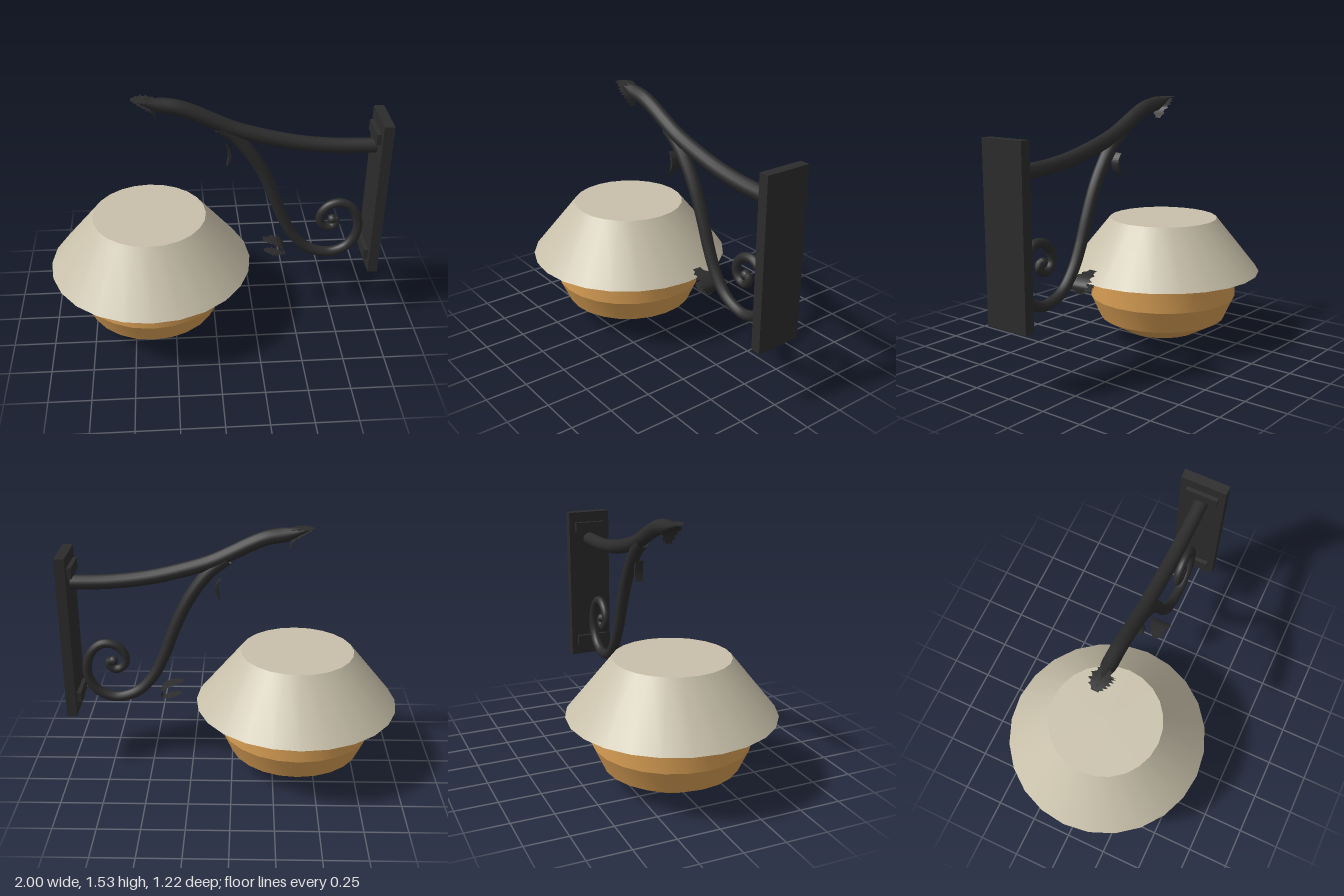
import * as THREE from 'three';
import { toCreasedNormals } from 'three/addons/utils/BufferGeometryUtils.js';

const iron = new THREE.MeshStandardMaterial({ color: 0x2c2c2c, side: THREE.DoubleSide });
iron.name = 'dark iron';
const cream = new THREE.MeshStandardMaterial({ color: 0xc8c0aa, side: THREE.DoubleSide });
cream.name = 'cream shade';
const amber = new THREE.MeshStandardMaterial({ color: 0xd99f55 });
amber.name = 'amber glass';

const LAMP_X = -0.39;

function add(parent, name, geometry, material) {
  const mesh = new THREE.Mesh(geometry, material);
  mesh.name = name;
  parent.add(mesh);
  return mesh;
}

// Turned part: round about its axis, with sharp edges between the bands
function turned(profile) {
  const points = profile.map(([r, y]) => new THREE.Vector2(r, y));
  return toCreasedNormals(new THREE.LatheGeometry(points, 24), THREE.MathUtils.degToRad(22));
}

// Round bar along a path in the xy plane; radiusAt(t) sets its taper
function bar(path, radiusAt, segments) {
  const curve = new THREE.CatmullRomCurve3(path.map(([x, y]) => new THREE.Vector3(x, y, 0)));
  const sides = 12;
  const geometry = new THREE.TubeGeometry(curve, segments, 1, sides);
  const pos = geometry.attributes.position;
  const v = new THREE.Vector3();
  for (let i = 0; i <= segments; i++) {
    const t = i / segments;
    const centre = curve.getPointAt(t);
    for (let j = 0; j <= sides; j++) {
      const k = i * (sides + 1) + j;
      v.fromBufferAttribute(pos, k).sub(centre).multiplyScalar(radiusAt(t)).add(centre);
      pos.setXYZ(k, v.x, v.y, v.z);
    }
  }
  geometry.computeBoundingSphere();
  return geometry;
}

// Ragged leaf: a thin sheet across z that follows a bent path of [x, y]
function leaf(path, halfWidth, steps = 14) {
  const curve = new THREE.CatmullRomCurve3(path.map(([x, y]) => new THREE.Vector3(x, y, 0)));
  const position = [], index = [];
  for (let i = 0; i <= steps; i++) {
    const p = curve.getPoint(i / steps);
    const round = 0.35 + 0.65 * Math.sin(Math.PI * i / steps);
    const left = halfWidth * round * (i % 2 ? 0.65 : 1);
    const right = halfWidth * round * (i % 3 ? 0.7 : 1);
    position.push(p.x, p.y, left, p.x, p.y, -right);
    if (i < steps) {
      const a = i * 2;
      index.push(a, a + 2, a + 1, a + 1, a + 2, a + 3);
    }
  }
  const geometry = new THREE.BufferGeometry();
  geometry.setAttribute('position', new THREE.Float32BufferAttribute(position, 3));
  geometry.setIndex(index);
  geometry.computeVertexNormals();
  return geometry;
}

export function createModel() {
  const model = new THREE.Group();
  model.name = 'wallLamp';

  // Lamp: hollow shade above a faceted glass bowl
  const lamp = new THREE.Group();
  lamp.name = 'lamp';
  lamp.position.x = LAMP_X;
  model.add(lamp);
  add(lamp, 'shade', turned([[0.61, 0.435], [0.34, 0.77], [0, 0.77]]), cream);
  add(lamp, 'glassBowl', turned([
    [0, 0], [0.24, 0.04], [0.4, 0.13], [0.463, 0.27], [0.463, 0.445], [0, 0.445],
  ]), amber);

  // Wall plate with two raised cross bars
  const bracket = new THREE.Group();
  bracket.name = 'bracket';
  model.add(bracket);
  add(bracket, 'wallPlate', new THREE.BoxGeometry(0.06, 1, 0.28), iron).position.set(0.97, 0.88, 0);
  for (const y of [0.485, 1.28]) {
    add(bracket, 'plateBar', new THREE.BoxGeometry(0.03, 0.065, 0.2), iron).position.set(0.93, y, 0);
  }

  // Main arm, tapering at the free end
  add(bracket, 'arm', bar([
    [0.95, 1.195], [0.72, 1.2], [0.5, 1.225], [0.3, 1.27], [0.12, 1.325],
    [0, 1.38], [-0.1, 1.43], [-0.2, 1.47], [-0.3, 1.488], [-0.37, 1.502], [-0.44, 1.521],
  ], t => t < 0.9 ? 0.044 : 0.044 - 0.38 * (t - 0.9), 64), iron);

  // Brace that ends in a scroll
  add(bracket, 'scrollBrace', bar([
    [0.03, 1.345], [0.12, 1.275], [0.2, 1.18], [0.28, 1.05], [0.35, 0.89], [0.41, 0.73],
    [0.475, 0.6], [0.56, 0.5], [0.65, 0.455], [0.73, 0.447], [0.82, 0.485], [0.875, 0.565],
    [0.883, 0.66], [0.845, 0.755], [0.775, 0.803], [0.7, 0.79], [0.652, 0.735], [0.648, 0.68],
    [0.68, 0.64], [0.725, 0.637], [0.75, 0.67], [0.735, 0.695], [0.715, 0.69],
  ], t => 0.041 - 0.017 * t, 150), iron);
  const scrollEnd = add(bracket, 'scrollEnd', new THREE.SphereGeometry(0.03, 12, 8), iron);
  scrollEnd.position.set(0.722, 0.69, 0);

  // Ragged leaves around the arm tip
  const leaves = new THREE.Group();
  leaves.name = 'leaves';
  model.add(leaves);
  add(leaves, 'tipLeafUpper', leaf([[-0.465, 1.526], [-0.4, 1.526], [-0.32, 1.52]], 0.065), iron);
  add(leaves, 'tipLeafLower', leaf([[-0.45, 1.515], [-0.39, 1.49], [-0.345, 1.46], [-0.325, 1.4]], 0.065), iron);

  // Loose leaves beside the brace
  add(leaves, 'braceLeafUpper', leaf([[0.3, 0.56], [0.39, 0.535], [0.435, 0.495], [0.43, 0.45]], 0.08), iron);
  add(leaves, 'braceLeafLower', leaf([[0.31, 0.475], [0.37, 0.46], [0.43, 0.445]], 0.05), iron);

  // Small crescent leaf under the arm
  const crescent = new THREE.Shape();
  crescent.moveTo(0.068, 1.222);
  crescent.quadraticCurveTo(0.128, 1.165, 0.072, 1.095);
  crescent.quadraticCurveTo(0.09, 1.165, 0.068, 1.222);
  const crescentGeometry = new THREE.ExtrudeGeometry(crescent, { depth: 0.05, bevelEnabled: false });
  add(leaves, 'crescentLeaf', crescentGeometry, iron).position.z = -0.025;

  return model;
}
